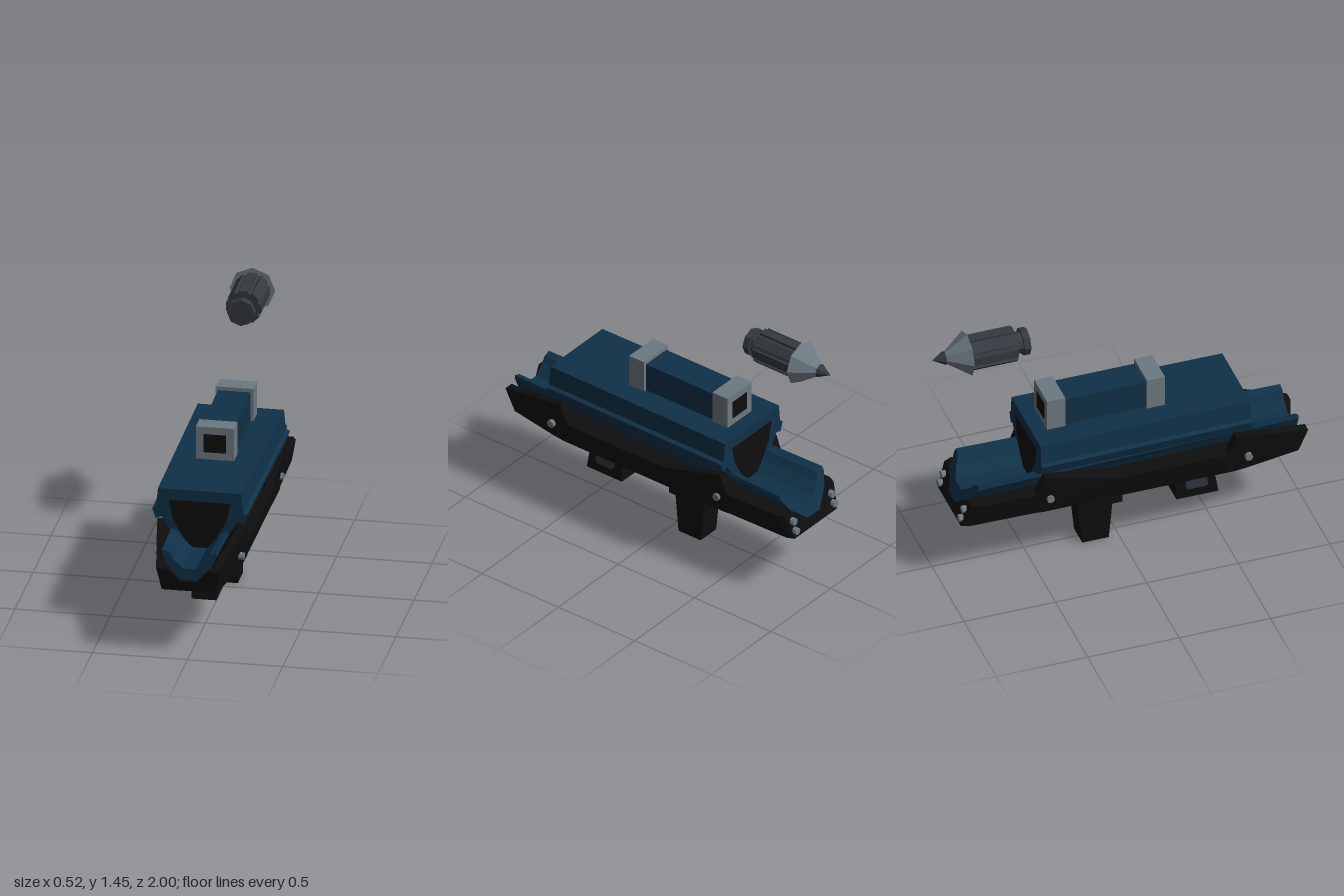
import * as THREE from 'three';

const paint = (name, color) => {
  const m = new THREE.MeshStandardMaterial({ color });
  m.name = name;
  return m;
};

export function createModel() {
  const blue = paint('deep blue', 0x103148);
  const black = paint('black', 0x0e0e0e);
  const steel = paint('steel grey', 0x6d7a81);
  const gunmetal = paint('gunmetal', 0x343a3f);
  const slate = paint('slate panel', 0x30383e);

  const model = new THREE.Group();
  model.name = 'launcher';
  const add = (name, geo, mat, x = 0, y = 0, z = 0, parent = model) => {
    const m = new THREE.Mesh(geo, mat);
    m.name = name;
    m.position.set(x, y, z);
    parent.add(m);
    return m;
  };
  const box = (name, mat, w, y0, y1, z0, z1) =>
    add(name, new THREE.BoxGeometry(w, y1 - y0, z1 - z0), mat, 0, (y0 + y1) / 2, (z0 + z1) / 2);

  // Mirror a right-hand half section, listed bottom to top
  const mirror = (half) => [...half, ...half.slice().reverse().map(([x, y]) => [-x, y])];

  // Skin between mirrored sections ordered front to back; slope leans a section along z
  const loft = (stations) => {
    const rings = stations.map(({ half, z, slope = 0 }) =>
      mirror(half).map(([x, y]) => [x, y, z + slope * (y - 0.5)]));
    const pos = [];
    const tri = (...p) => p.forEach((v) => pos.push(...v));
    for (let r = 0; r + 1 < rings.length; r++) {
      const f = rings[r], b = rings[r + 1];
      f.forEach((p, i) => {
        const j = (i + 1) % f.length;
        tri(p, b[i], b[j]);
        tri(p, b[j], f[j]);
      });
    }
    const cap = (ring, back) => {
      const pts = ring.map(([x, y]) => new THREE.Vector2(x, y));
      for (const [a, b, c] of THREE.ShapeUtils.triangulateShape(pts, [])) {
        if (back) tri(ring[a], ring[c], ring[b]);
        else tri(ring[a], ring[b], ring[c]);
      }
    };
    cap(rings[0], false);
    cap(rings[rings.length - 1], true);
    const g = new THREE.BufferGeometry();
    g.setAttribute('position', new THREE.Float32BufferAttribute(pos, 3));
    g.computeVertexNormals();
    return g;
  };

  // Side outline in (z, y), extruded across x
  const sidePlate = (pts, width) => {
    const shape = new THREE.Shape(pts.map(([z, y]) => new THREE.Vector2(z, y)));
    return new THREE.ExtrudeGeometry(shape, { depth: width, bevelEnabled: false })
      .translate(0, 0, -width / 2).rotateY(-Math.PI / 2);
  };

  // Lower cradle: z, half width, top height, trough width factor, slope
  const cradle = [
    [1.0, 0.165, 0.5, 1, 0.33],
    [0.66, 0.225, 0.586, 1.05],
    [0.585, 0.235, 0.605, 1.05],
    [0.54, 0.235, 0.5, 1.05],
    [-0.08, 0.235, 0.5, 1.15],
    [-0.46, 0.238, 0.605, 1.2],
    [-0.505, 0.232, 0.5, 1.22],
    [-0.82, 0.225, 0.5, 1.25, 0.33],
    [-0.86, 0.205, 0.5, 1.25, 0.33],
  ];
  add('cradle', loft(cradle.map(([z, w, top, s, slope]) => ({
    z, slope,
    half: [[w * 0.87, 0.365], [w, top], [w - 0.045, top], [0.113 * s, 0.5], [0.04 * s, 0.425]],
  }))), black);

  // Trough running the full length inside the cradle
  const trough = (s) => [[0.04, 0.422], [0.113, 0.498], [0.145, 0.57], [0.142, 0.588],
    [0.105, 0.575], [0.085, 0.54], [0.035, 0.49]].map(([x, y]) => [x * s, y]);
  add('trough', loft([
    { half: trough(1), z: 0.955 },
    { half: trough(1.25), z: -0.85, slope: 0.52 },
  ]), blue);

  // Main housing with side rails
  const housing = (s) => [[0.04, 0.48], [0.15, 0.565], [0.165, 0.59], [0.205, 0.65],
    [0.237, 0.637], [0.255, 0.69], [0.234, 0.7], [0.224, 0.805]].map(([x, y]) => [x * s, y]);
  add('housing', loft([
    { half: housing(0.975), z: 0.665 },
    { half: housing(1.01), z: -0.485 },
  ]), blue);

  // Dark mouths at both ends of the housing
  const mouth = [[0.04, 0.488], [0.09, 0.55], [0.142, 0.645], [0.163, 0.745]];
  for (const [name, z] of [['frontMouth', 0.667], ['rearMouth', -0.483]]) {
    add(name, loft([{ half: mouth, z }, { half: mouth, z: z - 0.004 }]), black);
  }

  // Sight: blue body with a grey frame and dark lens at each end
  box('sightBody', blue, 0.17, 0.8, 0.965, -0.32, 0.16);
  box('frontSightFrame', steel, 0.2, 0.803, 0.985, 0.142, 0.24);
  box('rearSightFrame', steel, 0.2, 0.803, 0.985, -0.405, -0.305);
  box('frontLens', black, 0.116, 0.845, 0.945, 0.238, 0.243);
  box('rearLens', black, 0.116, 0.845, 0.945, -0.408, -0.403);

  // Grips, trigger and guard
  add('foreGrip', sidePlate([[0.505, 0.38], [0.545, 0.15], [0.315, 0.15], [0.31, 0.38]].reverse(), 0.13), black);
  add('foreGripPanel', sidePlate([[0.36, 0.36], [0.465, 0.36], [0.488, 0.21], [0.475, 0.2], [0.38, 0.2], [0.365, 0.22]], 0.136), slate);
  add('rearGrip', sidePlate([[-0.03, 0.38], [-0.035, 0.22], [-0.055, 0], [-0.2, 0], [-0.225, 0.25], [-0.225, 0.38]], 0.13), black);
  box('trigger', blue, 0.05, 0.25, 0.33, -0.05, 0.025);
  box('lowerCatch', black, 0.07, 0.187, 0.235, -0.05, 0.03);
  add('gripSpur', sidePlate([[-0.21, 0.285], [-0.248, 0.285], [-0.29, 0.37], [-0.37, 0.37],
    [-0.31, 0.335], [-0.265, 0.258], [-0.21, 0.258]], 0.06), black);

  // Bolts on the sides and the rear face
  const sideBolt = new THREE.CylinderGeometry(0.021, 0.021, 0.04, 8).rotateZ(Math.PI / 2).toNonIndexed();
  const rearBolt = new THREE.CylinderGeometry(0.02, 0.02, 0.03, 8).rotateX(Math.PI / 2).toNonIndexed();
  [sideBolt, rearBolt].forEach((g) => g.computeVertexNormals());
  for (const side of [-1, 1]) {
    add('sideBolt', sideBolt, steel, side * 0.213, 0.455, 0.655);
    add('sideBolt', sideBolt, steel, side * 0.216, 0.455, -0.43);
    add('rearBolt', rearBolt, steel, side * 0.16, 0.455, -0.88);
    add('rearBolt', rearBolt, steel, side * 0.16, 0.403, -0.897);
  }

  // Rocket flying off the rear
  const rocket = new THREE.Group();
  rocket.name = 'rocket';
  rocket.position.y = 1.33;
  model.add(rocket);
  const section = (name, mat, z0, r0, z1, r1) => {
    const g = new THREE.CylinderGeometry(r0, r1, z0 - z1, 8).rotateX(Math.PI / 2).toNonIndexed();
    g.computeVertexNormals();
    add(name, g, mat, 0, 0, (z0 + z1) / 2, rocket);
  };
  section('tailFlange', gunmetal, -0.48, 0.073, -0.516, 0.073);
  section('neck', gunmetal, -0.51, 0.057, -0.56, 0.057);
  section('noseCone', steel, -0.807, 0.12, -0.945, 0.02);
  section('noseTip', gunmetal, -0.93, 0.038, -1.0, 0.0001);

  // Ribbed rocket body
  const ribs = [];
  for (let i = 0; i < 8; i++) {
    const a = (i * Math.PI) / 4;
    for (const [d, r] of [[-0.26, 0.095], [0.26, 0.095], [0.3, 0.083], [0.485, 0.083]]) {
      ribs.push(new THREE.Vector2(r * Math.cos(a + d), r * Math.sin(a + d)));
    }
  }
  add('rocketBody', new THREE.ExtrudeGeometry(new THREE.Shape(ribs), { depth: 0.255, bevelEnabled: false }),
    gunmetal, 0, 0, -0.81, rocket);

  return model;
}
